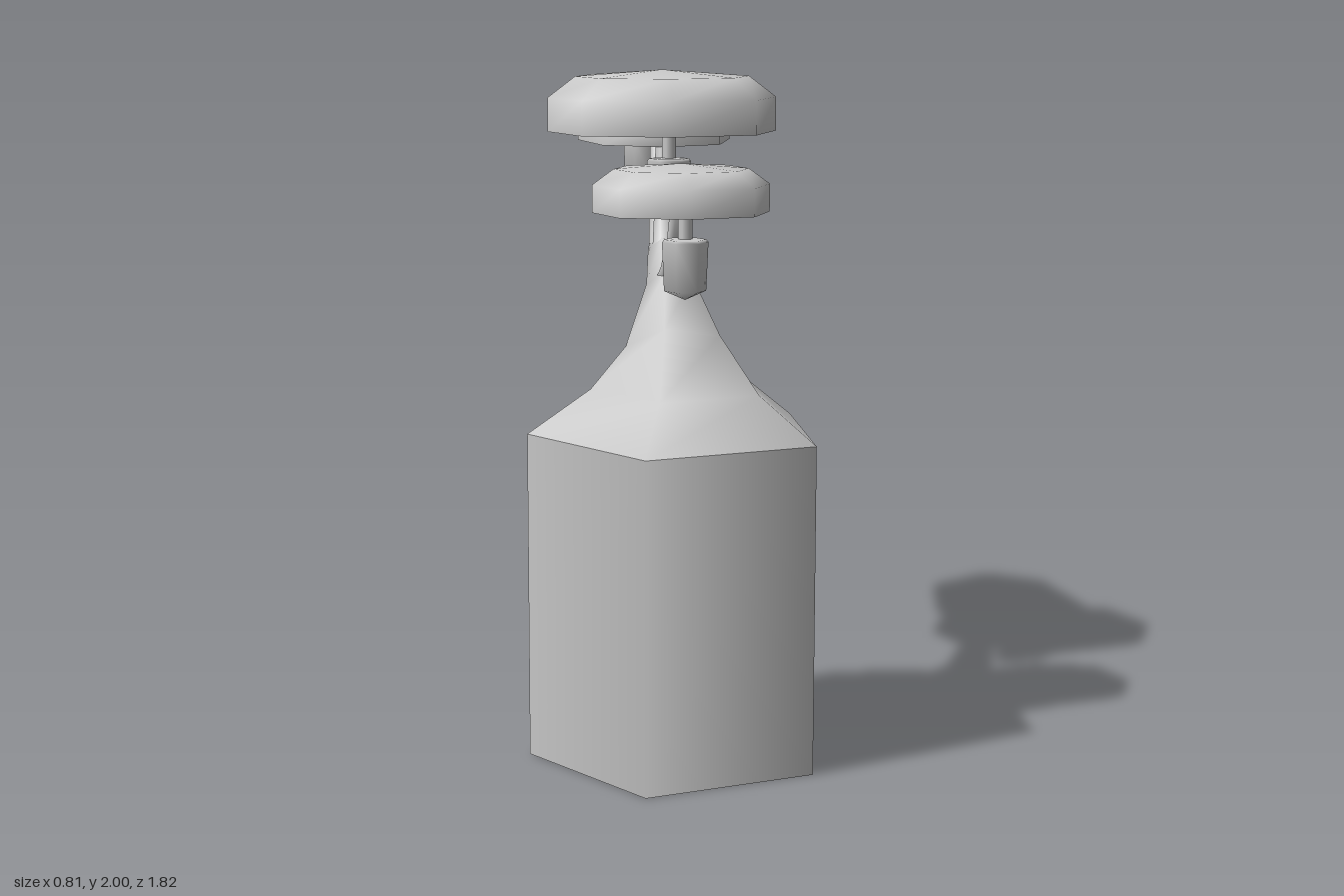
import * as THREE from 'three';
import { mergeVertices } from 'three/addons/utils/BufferGeometryUtils.js';

const CX = 0.042; // shared centre line of base, trunk and canopies
const BASE_Z = 0.486;

// Unit outlines, running from +x towards +z
const outline = (degrees, radius = () => 1) => degrees.map((d, i) => {
  const a = THREE.MathUtils.degToRad(d);
  return [Math.cos(a) * radius(i), Math.sin(a) * radius(i)];
});
const BASE = outline([36, 108, 180, 252, 288, 324]); // pentagon with its back corner cut wide
const HEXAGON = outline([0, 60, 120, 180, 240, 300]);
const OCTAGON = outline([0, 45, 90, 135, 180, 225, 270, 315], (i) => (i % 2 ? 1.055 : 1));

// Skin through rings { y, z, rx, rz, back, tilt }; tilt lifts the +z side of a ring.
function loft(rings, shape) {
  const pos = [], idx = [], sides = shape.length;
  for (const { y, z, rx, rz = rx, back = rz, tilt = 0 } of rings) {
    for (const [c, s] of shape) {
      const d = s * (s > 0 ? rz : back);
      pos.push(CX + c * rx, y + d * Math.sin(tilt), z + d * Math.cos(tilt));
    }
  }
  for (let r = 0; r < rings.length - 1; r++) {
    for (let k = 0; k < sides; k++) {
      const a = r * sides + k, b = r * sides + (k + 1) % sides;
      idx.push(a, a + sides, b, b, a + sides, b + sides);
    }
  }
  let geo = new THREE.BufferGeometry();
  geo.setAttribute('position', new THREE.Float32BufferAttribute(pos, 3));
  geo.setIndex(idx);
  geo = mergeVertices(geo, 1e-5);
  geo.computeVertexNormals();
  return geo;
}

// Tapered limb along [y, z, radius] points, rings square to the path
function limb(points) {
  return loft(points.map(([y, z, rx], i) => {
    const p = points[Math.max(i - 1, 0)], n = points[Math.min(i + 1, points.length - 1)];
    return { y, z, rx, tilt: Math.atan2(p[1] - n[1], n[0] - p[0]) };
  }), HEXAGON);
}

export function createModel() {
  const group = new THREE.Group();
  const solid = new THREE.MeshStandardMaterial({ color: 0xcccccc });
  const thin = new THREE.MeshStandardMaterial({ color: 0xcccccc, side: THREE.DoubleSide });
  const add = (name, geo, mat = thin, parent = group) => {
    const mesh = new THREE.Mesh(geo, mat);
    mesh.name = name;
    parent.add(mesh);
    return mesh;
  };

  // Upright base wall, open below, with level normals rounding its corners
  const wall = loft([{ y: 0, z: BASE_Z, rx: 0.448 }, { y: 0.97, z: BASE_Z, rx: 0.448 }], BASE);
  const { position, normal } = wall.attributes;
  for (let i = 0; i < position.count; i++) {
    const n = new THREE.Vector3(position.getX(i) - CX, 0, position.getZ(i) - BASE_Z).normalize();
    normal.setXYZ(i, n.x, n.y, n.z);
  }
  add('base', wall);

  // Shoulder flowing into the leaning trunk
  add('trunk', loft([
    { y: 0.97, z: BASE_Z, rx: 0.448 },
    { y: 1.10, z: 0.483, rx: 0.262 },
    { y: 1.205, z: 0.357, rx: 0.15, tilt: 0.48 },
    { y: 1.37, z: 0.2, rx: 0.075, tilt: 0.6 },
    { y: 1.447, z: 0.04, rx: 0.057, tilt: 1.1 },
    { y: 1.5, z: -0.035, rx: 0.042, tilt: 0.85 },
  ], BASE));

  // Branches
  add('middleBranch', limb([[1.44, 0.055, 0.045], [1.56, -0.015, 0.033], [1.66, -0.04, 0.03], [1.85, -0.08, 0.02]]));
  add('backBranch', limb([[1.45, 0.03, 0.053], [1.565, -0.11, 0.04], [1.66, -0.18, 0.03], [1.83, -0.31, 0.022]]));
  add('frontBranch', limb([[1.37, 0.18, 0.05], [1.43, 0.27, 0.038], [1.52, 0.385, 0.031], [1.61, 0.455, 0.029], [1.68, 0.49, 0.022]]));

  // Hollow eight-sided canopies, open underneath
  const canopies = [
    { name: 'topCanopy', z: -0.1, rx: 0.356, rz: 0.312, back: 0.312, ys: [1.81, 1.915, 1.98, 2.0] },
    { name: 'backCanopy', z: -0.4, rx: 0.246, rz: 0.37, back: 0.508, ys: [1.765, 1.85, 1.893, 1.91] },
    { name: 'frontCanopy', z: 0.497, rx: 0.257, rz: 0.227, back: 0.227, ys: [1.615, 1.695, 1.74, 1.755] },
  ];
  const spread = [1, 1, 0.76, 0];
  for (const { name, z, rx, rz, back, ys } of canopies) {
    add(name, loft(ys.map((y, i) => (
      { y, z, rx: rx * spread[i], rz: rz * spread[i], back: back * spread[i] })), OCTAGON));
  }

  // Hanging lanterns: short stem and six-sided body with a pointed bottom
  const profile = [[0, -0.172], [0.06, -0.146], [0.066, -0.008], [0.06, 0], [0, 0.002]]
    .map(([r, y]) => new THREE.Vector2(r, y));
  for (const [name, y, z] of [['frontLantern', 1.553, 0.655], ['middleLantern', 1.745, 0.165], ['backLantern', 1.745, -0.77]]) {
    const lantern = new THREE.Group();
    lantern.name = name;
    lantern.position.set(CX - 0.004, y, z);
    lantern.rotation.y = Math.PI / 2;
    add('lanternBody', new THREE.LatheGeometry(profile, 6), solid, lantern);
    add('lanternStem', new THREE.CylinderGeometry(0.021, 0.021, 0.1, 6), solid, lantern).position.y = 0.04;
    group.add(lantern);
  }
  return group;
}
